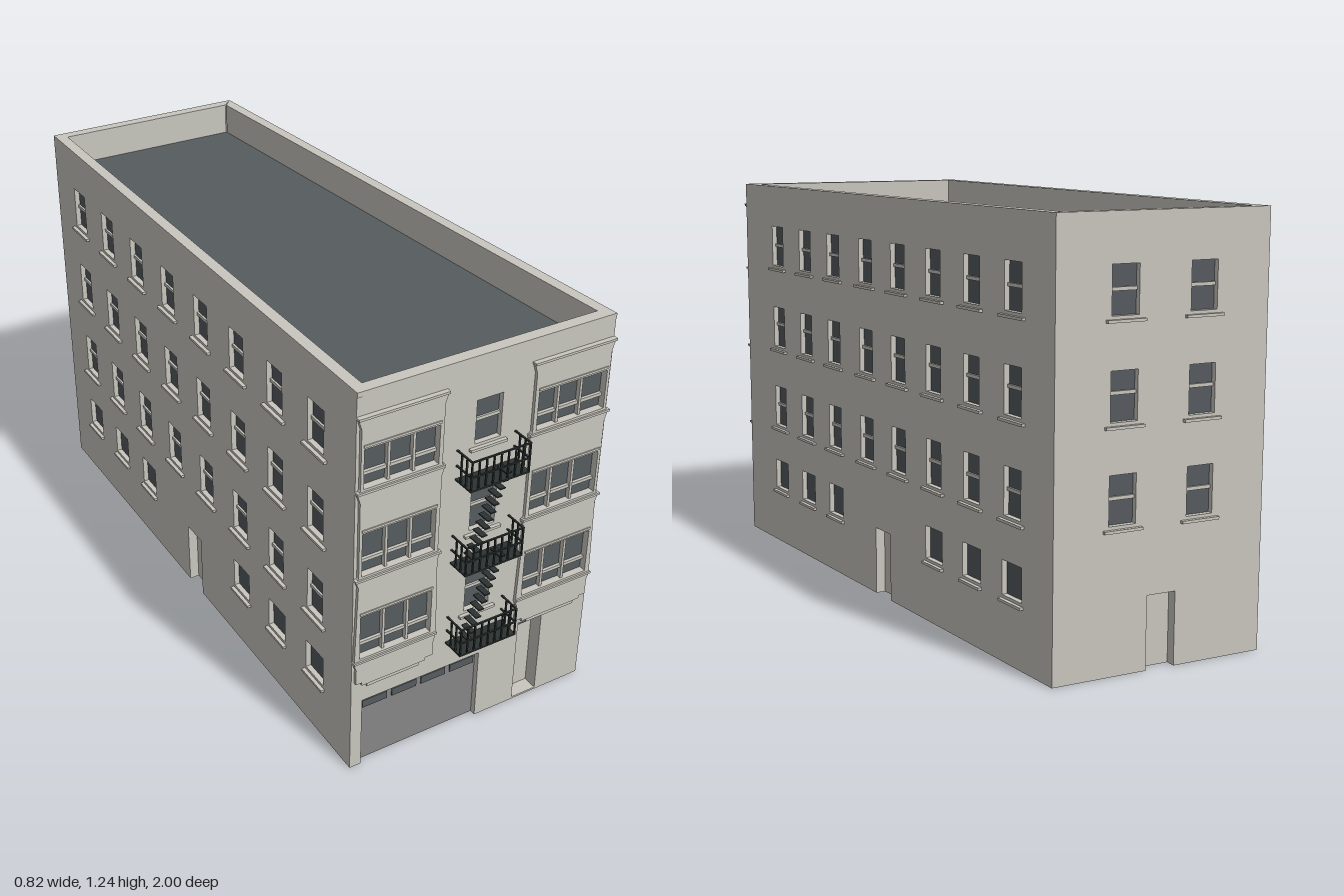
import * as THREE from 'three';

const mat = (name, color, side = THREE.FrontSide) => {
  const m = new THREE.MeshStandardMaterial({ color, side });
  m.name = name;
  return m;
};

export function createModel() {
  const stone = mat('stone', 0xc8c6be);
  const glass = mat('glass', 0x565b5f);
  const roofing = mat('roofing', 0x565b5f);
  const garageGrey = mat('garageGrey', 0x868686);
  const iron = mat('iron', 0x2c3231);
  const model = new THREE.Group();
  model.name = 'building';

  const H = 1.235, OUTER = 0.02, INNER = 0.015;
  const add = (parent, name, geo, material) => {
    const m = new THREE.Mesh(geo, material);
    m.name = name;
    parent.add(m);
    return m;
  };
  // Box given by its extents
  const box = (parent, name, material, x0, x1, y0, y1, z0, z1) => {
    const m = add(parent, name, new THREE.BoxGeometry(x1 - x0, y1 - y0, z1 - z0), material);
    m.position.set((x0 + x1) / 2, (y0 + y1) / 2, (z0 + z1) / 2);
    return m;
  };
  const rectHole = ([x0, x1, y0, y1]) => new THREE.Path([
    new THREE.Vector2(x0, y0), new THREE.Vector2(x0, y1),
    new THREE.Vector2(x1, y1), new THREE.Vector2(x1, y0)]);

  // One wall layer with doorway notches, window holes and mitred ends
  const layer = (L, doors, holes, z0, z1) => {
    const s = new THREE.Shape();
    s.moveTo(0, 0);
    for (const d of [...doors].sort((p, q) => p.u - q.u)) {
      s.lineTo(d.u - d.w / 2, 0);
      s.lineTo(d.u - d.w / 2, d.h);
      s.lineTo(d.u + d.w / 2, d.h);
      s.lineTo(d.u + d.w / 2, 0);
    }
    s.lineTo(L, 0);
    s.lineTo(L, H);
    s.lineTo(0, H);
    s.closePath();
    s.holes = holes.map(rectHole);
    const g = new THREE.ExtrudeGeometry(s, { depth: z1 - z0, bevelEnabled: false });
    g.translate(0, 0, z0);
    const p = g.attributes.position;
    for (let i = 0; i < p.count; i++) {
      if (p.getX(i) < 1e-4) p.setX(i, -p.getZ(i));
      else if (p.getX(i) > L - 1e-4) p.setX(i, L + p.getZ(i));
    }
    g.computeVertexNormals();
    return g;
  };

  // Wall from corner a to corner b; local +z faces outward
  const wall = (name, a, b, windows, doors, extraHoles = []) => {
    const g = new THREE.Group();
    g.name = name;
    g.position.set(a[0], 0, a[1]);
    g.rotation.y = Math.atan2(-(b[1] - a[1]), b[0] - a[0]);
    model.add(g);
    const L = Math.hypot(b[0] - a[0], b[1] - a[1]);
    const holes = windows.map(w => [w.u - w.w / 2, w.u + w.w / 2, w.y0, w.y1]);
    add(g, name + 'Face', layer(L, doors, [...holes, ...extraHoles], -OUTER, 0), stone);
    add(g, name + 'Lining', layer(L, doors, [], -OUTER - INNER, -OUTER), stone);
    windows.forEach((w, i) => {
      const [x0, x1, y0, y1] = holes[i];
      box(g, 'windowGlass', glass, x0, x1, y0, y1, -0.02, -0.016);
      if (w.rail) box(g, 'windowRail', stone, x0, x1, w.rail - 0.005, w.rail + 0.005, -0.018, -0.01);
      box(g, 'windowSill', stone, w.u - w.sill / 2, w.u + w.sill / 2, y0 - 0.017, y0 - 0.009, -0.005, 0.011);
    });
    return g;
  };

  // Upper floors: bottom, top and meeting rail of each sash window
  const floors = [[0.413, 0.55, 0.485], [0.689, 0.825, 0.765], [0.967, 1.1, 1.035]];
  const sashes = us => us.flatMap(u => floors.map(([y0, y1, rail]) => ({ u, w: 0.083, y0, y1, rail, sill: 0.118 })));
  const lowWindows = us => us.map(u => ({ u, w: 0.096, y0: 0.19, y1: 0.288, sill: 0.11 }));
  const plainDoor = (g, u, w, h) => {
    box(g, 'door', stone, u - w / 2, u + w / 2, 0, h, -0.04, -0.03);
    box(g, 'doorBack', garageGrey, u - w / 2, u + w / 2, 0, h, -0.044, -0.04);
  };

  const FL = [-0.405, 0.93], FR = [0.405, 0.93], BR = [0.27, -0.986], BL = [-0.39, -0.989];

  // Side on +x
  const rz = [0.673, 0.461, 0.255, 0.035, -0.169, -0.378, -0.587, -0.796].map(z => 0.93 - z);
  const sideA = wall('leftWall', FR, BR, [...sashes(rz), ...lowWindows(rz.filter((_, i) => i !== 3 && i !== 4))],
    [{ u: 0.995, w: 0.093, h: 0.21 }]);
  plainDoor(sideA, 0.995, 0.093, 0.21);

  // Side on -x
  const lz = Array.from({ length: 8 }, (_, i) => 0.189 + i * 0.219);
  const sideB = wall('rightWall', BL, FL, [...sashes(lz), ...lowWindows(lz.filter((_, i) => i !== 3 && i !== 4))],
    [{ u: 0.96, w: 0.09, h: 0.21 }]);
  plainDoor(sideB, 0.96, 0.09, 0.21);

  // Back
  const back = wall('backWall', BR, BL, sashes([0.208, 0.452]), [{ u: 0.335, w: 0.09, h: 0.21 }]);
  plainDoor(back, 0.335, 0.09, 0.21);

  // Front: bay windows are [bottom, top, transom] for each floor, written for the +x bay
  const bayRows = [[0.397, 0.54, 0.438], [0.675, 0.811, 0.716], [0.951, 1.07, 0.989]];
  const bx0 = 0.157, bx1 = 0.386;
  const bayHoles = [];
  for (const [y0, y1] of bayRows) {
    bayHoles.push([0.405 + bx0, 0.405 + bx1, y0, y1], [0.405 - bx1, 0.405 - bx0, y0, y1]);
  }
  const garage = { u: 0.234, w: 0.395, h: 0.235 }, entry = { u: 0.61, w: 0.085, h: 0.286 };
  const front = wall('frontWall', FL, FR, sashes([0.409]), [garage, entry], bayHoles);

  // Garage door
  box(front, 'garageDoor', garageGrey, 0.035, 0.433, 0, 0.236, -0.03, -0.018);
  for (let i = 0; i < 4; i++) {
    const x = 0.047 + i * 0.0985;
    box(front, 'garageDoorPane', glass, x, x + 0.082, 0.192, 0.217, -0.018, -0.014);
  }
  // Entry door with transom
  box(front, 'entryDoor', stone, 0.567, 0.653, 0, 0.286, -0.055, -0.045);
  box(front, 'entryReveal', stone, 0.562, 0.567, 0, 0.286, -0.055, -0.02);
  box(front, 'entryReveal', stone, 0.653, 0.658, 0, 0.286, -0.055, -0.02);
  box(front, 'entrySideGlass', glass, 0.569, 0.577, 0.01, 0.236, -0.045, -0.04);
  box(front, 'transomGlass', glass, 0.569, 0.651, 0.238, 0.257, -0.045, -0.04);
  box(front, 'transomGlass', glass, 0.569, 0.651, 0.263, 0.283, -0.045, -0.04);
  box(front, 'entryStep', stone, 0.567, 0.653, 0, 0.006, -0.045, 0);
  box(front, 'parapetBand', stone, 0, 0.81, 1.22, H, 0, 0.002);

  // Shallow bays with flared edges
  const flare = [[0.31, 0.01], [0.36, 0.01], [0.38, 0.003], [0.64, 0.011], [0.66, 0.003], [0.672, 0.011],
    [0.91, 0.011], [0.935, 0.003], [0.95, 0.011], [1.13, 0.011], [1.165, 0]];
  for (const side of [-1, 1]) {
    const bay = new THREE.Group();
    bay.name = side > 0 ? 'leftBay' : 'rightBay';
    bay.position.z = 0.93;
    model.add(bay);
    const bb = (name, m, x0, x1, ...rest) =>
      side > 0 ? box(bay, name, m, x0, x1, ...rest) : box(bay, name, m, -x1, -x0, ...rest);
    const c = 0.27, half = 0.136;
    const shape = new THREE.Shape([
      ...flare.map(([y, d]) => new THREE.Vector2(side * c + half - d, y)),
      ...[...flare].reverse().map(([y, d]) => new THREE.Vector2(side * c - half + d, y))]);
    shape.holes = bayRows.map(([y0, y1]) => rectHole(side > 0 ? [bx0, bx1, y0, y1] : [-bx1, -bx0, y0, y1]));
    add(bay, 'bayFace', new THREE.ExtrudeGeometry(shape, { depth: 0.01, bevelEnabled: false }), stone);
    for (const [y0, y1, t] of bayRows) {
      bb('bayGlass', glass, bx0, bx1, y0, y1, -0.019, -0.012);
      bb('bayTransom', stone, bx0, bx1, t - 0.005, t + 0.005, -0.013, -0.003);
      for (const x of [0.23, 0.3065]) bb('bayMullion', stone, x - 0.004, x + 0.004, y0, y1, -0.013, 0.002);
      bb('baySill', stone, 0.137, 0.406, y0 - 0.014, y0 - 0.007, 0, 0.015);
      bb('bayLintel', stone, 0.155, 0.388, y1 + 0.006, y1 + 0.013, 0, 0.013);
    }
    bb('bayCornice', stone, 0.135, 0.406, 1.158, 1.165, 0, 0.015);
    bb('bayCorbel', stone, 0.167, 0.376, 0.298, 0.31, 0, 0.008);
    bb('bayCorbel', stone, 0.187, 0.357, 0.286, 0.298, 0, 0.005);
  }

  // Roof deck behind the parapet
  const deck = new THREE.Shape([[-0.372, -0.897], [0.37, -0.897], [0.237, 0.955], [-0.358, 0.957]]
    .map(p => new THREE.Vector2(...p)));
  const roof = add(model, 'roofDeck', new THREE.ExtrudeGeometry(deck, { depth: 0.01, bevelEnabled: false }), roofing);
  roof.rotation.x = -Math.PI / 2;
  roof.position.y = 1.125;

  // Fire escape
  const escape = new THREE.Group();
  escape.name = 'fireEscape';
  model.add(escape);
  const x0 = -0.095, x1 = 0.097, zb = 0.93, zf = 1, r = 0.0025;
  const levels = [0.322, 0.6, 0.873];
  for (const y of levels) {
    box(escape, 'balconyFloor', iron, x0, x1, y, y + 0.005, zb, zf);
    for (const h of [0.048, 0.095]) {
      box(escape, 'frontRail', iron, x0, x1, y + h - 0.004, y + h, zf - 2 * r, zf);
      for (const x of [x0, x1 - 2 * r]) box(escape, 'sideRail', iron, x, x + 2 * r, y + h - 0.004, y + h, zb, zf);
    }
    for (let i = 0; i <= 8; i++) {
      const x = x0 + r + (x1 - x0 - 2 * r) * i / 8;
      box(escape, 'baluster', iron, x - r * 0.8, x + r * 0.8, y, y + 0.095, zf - 2 * r, zf);
    }
    for (const x of [x0, x1 - 2 * r]) {
      for (const z of [0.95, 0.973]) box(escape, 'sideBaluster', iron, x, x + 2 * r, y, y + 0.095, z, z + 0.004);
    }
  }
  // Stair flights between balconies
  for (let f = 0; f < 2; f++) {
    const rise = levels[f + 1] - levels[f];
    for (let i = 1; i <= 12; i++) {
      const t = i / 12, x = -0.06 + 0.1 * t, y = levels[f] + rise * t + 0.01;
      box(escape, 'stairTread', iron, x - 0.009, x + 0.009, y - 0.002, y + 0.002, 0.943, 0.985);
    }
  }
  return model;
}
